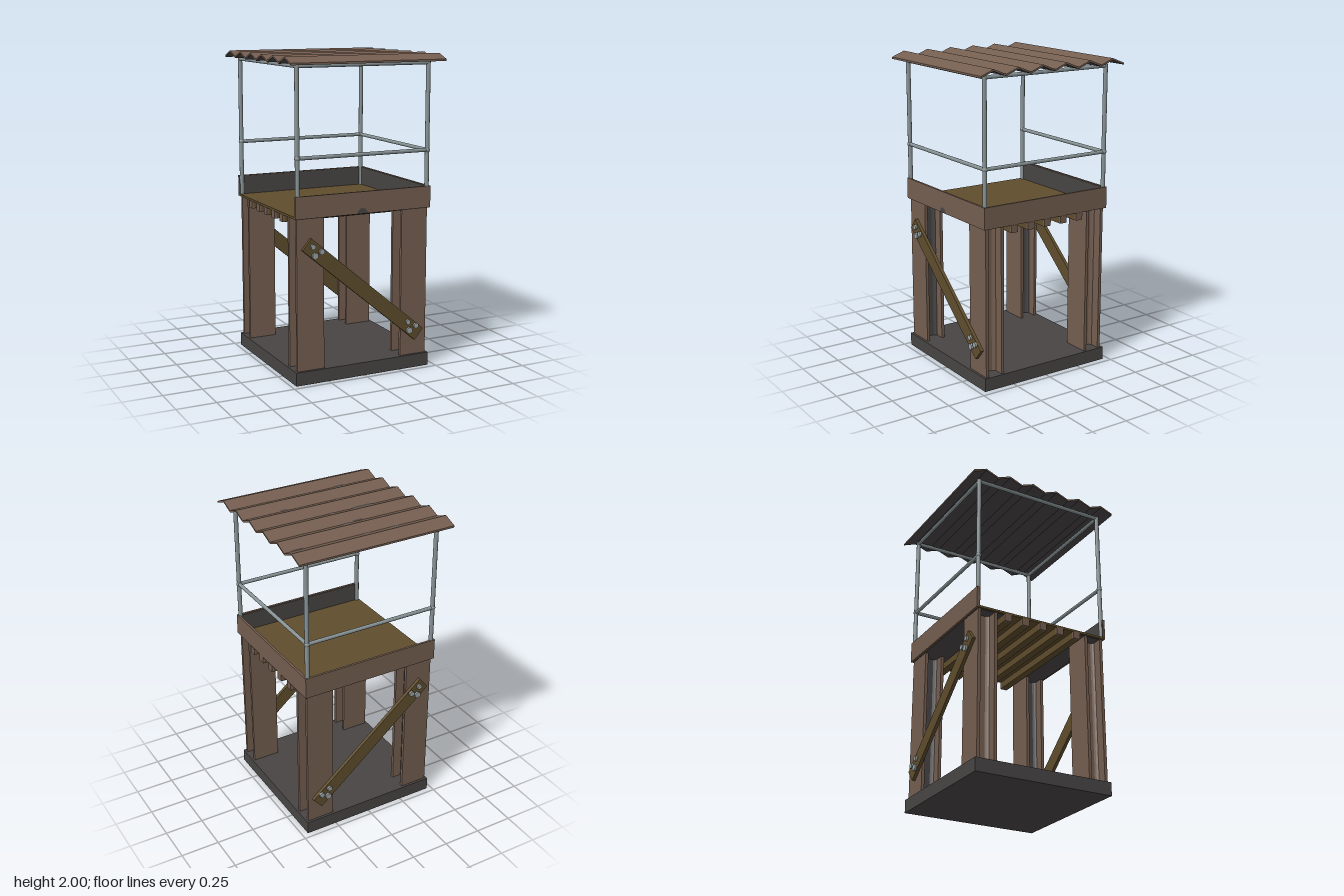
import * as THREE from 'three';

const mat = (name, color, extra = {}) => Object.assign(new THREE.MeshStandardMaterial({ color, ...extra }), { name });

export function createModel() {
  const rust = mat('rustBrown', 0x745e50);
  const dark = mat('darkMetal', 0x484444);
  const wood = mat('oldWood', 0x5f4d2d);
  const steel = mat('railSteel', 0x879294);
  const bolt = mat('boltSteel', 0x9ca4a6);

  const model = new THREE.Group();
  model.name = 'watchtower';
  const CX = -0.005; // tower axis

  const add = (name, geometry, material, x = 0, y = 0, z = 0, parent = model) => {
    const m = new THREE.Mesh(geometry, material);
    m.name = name;
    m.position.set(x, y, z);
    parent.add(m);
    return m;
  };
  // box given by its limits
  const box = (name, material, x0, x1, y0, y1, z0, z1, parent) =>
    add(name, new THREE.BoxGeometry(x1 - x0, y1 - y0, z1 - z0), material,
      (x0 + x1) / 2, (y0 + y1) / 2, (z0 + z1) / 2, parent);

  // base slab
  box('baseSlab', dark, -0.47, 0.46, 0, 0.085, -0.463, 0.463);

  // four H-section legs: flanges face front and back, web between them
  const halfWeb = (dir) => {
    const pts = [[0, 0.048], [0.032, 0.048], [0.02, 0.036], [0.014, 0.026],
      [0.014, -0.026], [0.02, -0.036], [0.032, -0.048], [0, -0.048]];
    const shape = new THREE.Shape(pts.map(([x, z]) => new THREE.Vector2(x * dir, z)));
    return new THREE.ExtrudeGeometry(shape, { depth: 0.955, bevelEnabled: false }).rotateX(-Math.PI / 2);
  };
  for (const sx of [-1, 1]) {
    for (const sz of [-1, 1]) {
      const leg = new THREE.Group();
      leg.name = 'leg';
      leg.position.set(CX + sx * 0.36, 0.083, sz * 0.381);
      for (const f of [-1, 1]) {
        add('flange', new THREE.BoxGeometry(0.182, 0.955, 0.02), rust, 0, 0.4775, f * 0.056, leg);
      }
      add('outerWeb', halfWeb(sx), rust, 0, 0, 0, leg);
      add('innerWeb', halfWeb(-sx), dark, 0, 0, 0, leg);
      model.add(leg);
    }
  }

  // diagonal braces with bolts, front and back
  const bolts = [[-0.36, 0.865, 0.018], [-0.302, 0.83, 0.019], [-0.347, 0.808, 0.022],
    [0.303, 0.31, 0.018], [0.36, 0.28, 0.019], [0.314, 0.254, 0.022]];
  for (const s of [-1, 1]) {
    const plank = add('brace', new THREE.BoxGeometry(1.027, 0.092, 0.022), wood, CX, 0.55, s * 0.457);
    plank.rotation.z = -0.701;
    for (const [x, y, r] of bolts) {
      const head = add('bolt', new THREE.CylinderGeometry(r, r, 0.014, 6), bolt, x, y, s * 0.474);
      head.rotation.x = Math.PI / 2;
    }
  }

  // platform floor, joists and the dark strips under the outer bays
  box('floor', wood, -0.468, 0.452, 1.036, 1.05, -0.452, 0.452);
  for (let i = -2; i <= 2; i++) {
    const z = i * 0.123;
    box('joist', wood, -0.455, 0.445, 0.99, 1.037, z - 0.024, z + 0.024);
    box('joistEnd', rust, -0.47, -0.455, 0.99, 1.037, z - 0.024, z + 0.024);
    box('joistEnd', rust, 0.445, 0.46, 0.99, 1.037, z - 0.024, z + 0.024);
  }
  for (const s of [-1, 1]) {
    add('underStrip', new THREE.BoxGeometry(0.9, 0.004, 0.175), dark, CX, 1.035, s * 0.362);
  }

  // rim on three sides, dark on the inside; the -x side is the open entrance
  for (const s of [-1, 1]) {
    add('rim', new THREE.BoxGeometry(0.93, 0.137, 0.014), rust, CX, 1.1065, s * 0.456);
    add('rimLining', new THREE.BoxGeometry(0.92, 0.122, 0.004), dark, CX, 1.11, s * 0.447);
  }
  box('rim', rust, 0.446, 0.46, 1.038, 1.175, -0.449, 0.449);
  box('rimLining', dark, 0.442, 0.446, 1.049, 1.171, -0.449, 0.449);
  // bare patch on the front rim
  add('barePatch', new THREE.CircleGeometry(0.034, 8, 0, Math.PI), dark, -0.02, 1.039, 0.4635);

  // railing
  const X0 = -0.45, X1 = 0.44, Z = 0.447;
  const tube = (name, a, b, r) => {
    const A = new THREE.Vector3(...a), B = new THREE.Vector3(...b);
    const d = B.clone().sub(A);
    const m = add(name, new THREE.CylinderGeometry(r, r, d.length(), 12), steel);
    m.position.copy(A).add(B).multiplyScalar(0.5);
    m.quaternion.setFromUnitVectors(new THREE.Vector3(0, 1, 0), d.normalize());
  };
  for (const x of [X0, X1]) {
    for (const z of [-Z, Z]) {
      tube('railPost', [x, 1.05, z], [x, 1.955, z], 0.014);
      add('railJoint', new THREE.SphereGeometry(0.018, 12, 8), steel, x, 1.402, z);
    }
  }
  for (const [y, name] of [[1.402, 'midRail'], [1.944, 'topRail']]) {
    for (const z of [-Z, Z]) tube(name, [X0, y, z], [X1, y, z], 0.012);
    tube(name, [X1, y, -Z], [X1, y, Z], 0.012);
  }
  tube('topRail', [X0, 1.944, -Z], [X0, 1.944, Z], 0.012);

  // corrugated roof: brown sheet with a dark underside
  const W = 0.523, N = 12, VALLEY = 1.966, PEAK = 2;
  const sheet = (top, bottom, half) => {
    const ridge = [];
    for (let i = 0; i <= N; i++) ridge.push([-W + (2 * W * i) / N, i % 2 ? PEAK : VALLEY]);
    const pts = [...ridge.map(([z, y]) => new THREE.Vector2(z, y - bottom)),
      ...ridge.reverse().map(([z, y]) => new THREE.Vector2(z, y - top))];
    return new THREE.ExtrudeGeometry(new THREE.Shape(pts), { depth: 2 * half, bevelEnabled: false })
      .translate(0, 0, -half).rotateY(Math.PI / 2);
  };
  add('roofSheet', sheet(0, 0.01, W), rust);
  add('roofUnderside', sheet(0.01, 0.012, W - 0.002), dark);

  // worn patches lying in the roof valleys: x, z, half length, half width
  const worn = [[-0.21, -0.355, 0.03, 0.008], [-0.02, -0.353, 0.02, 0.006], [0.435, -0.347, 0.04, 0.006],
    [-0.07, -0.17, 0.04, 0.008], [0.01, -0.18, 0.03, 0.009], [-0.21, -0.002, 0.08, 0.011],
    [0.01, -0.003, 0.025, 0.006], [-0.13, 0.17, 0.02, 0.006], [0.24, 0.18, 0.03, 0.007], [-0.24, 0.348, 0.037, 0.01]];
  for (const [x, z, a, b] of worn) {
    const patch = new THREE.CircleGeometry(1, 10).scale(a, b, 1).rotateX(-Math.PI / 2);
    add('wornPatch', patch, dark, x, VALLEY + 0.0045, z);
  }
  return model;
}
